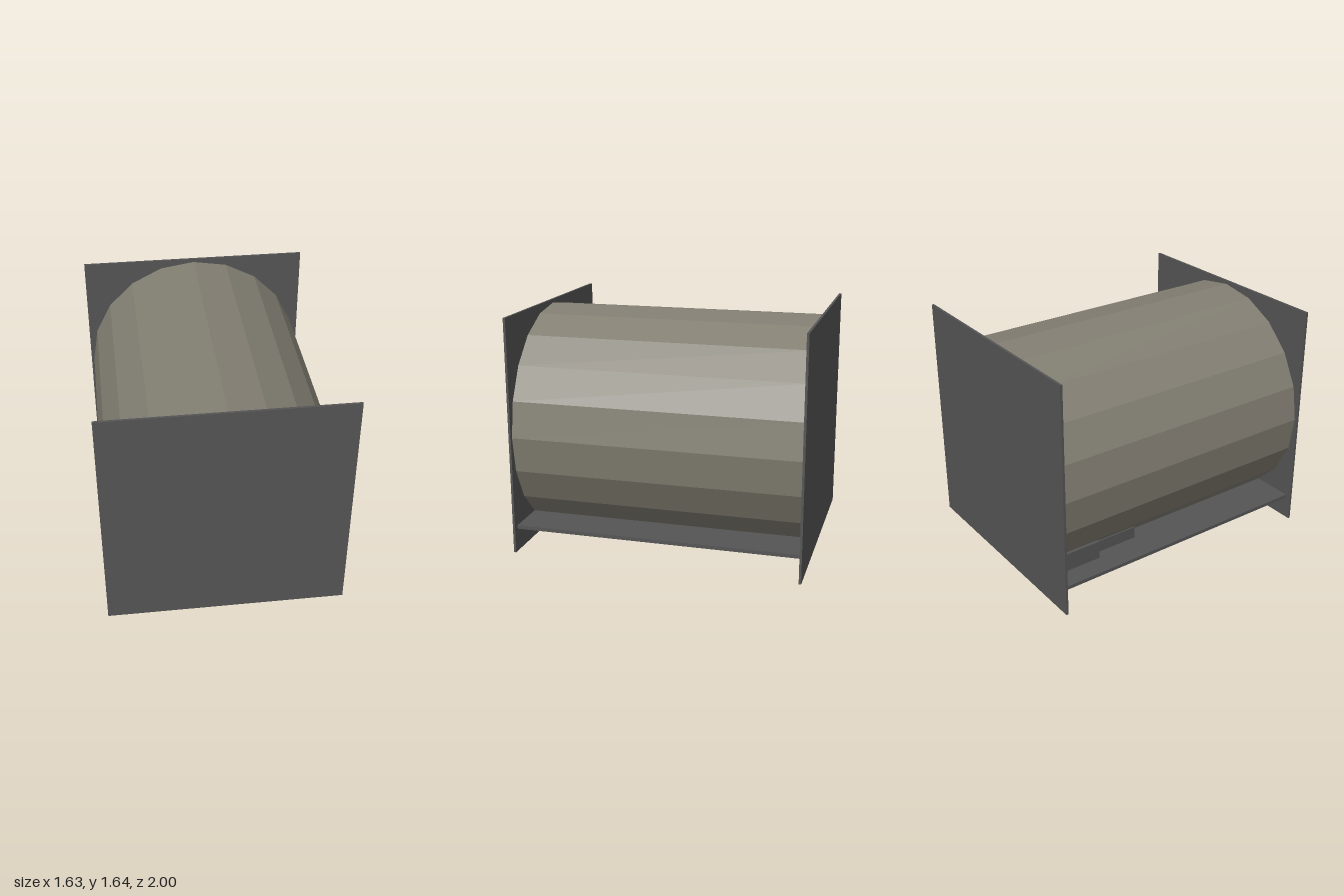
import * as THREE from 'three';

export function createModel() {
  const group = new THREE.Group();
  const mat = (name, color) => {
    const m = new THREE.MeshStandardMaterial({ color });
    m.name = name;
    return m;
  };
  const grey = mat('dark grey', 0x555555);
  const drumColour = mat('warm grey', 0x827e72);

  const box = (name, w, h, d, x, y, z) => {
    const mesh = new THREE.Mesh(new THREE.BoxGeometry(w, h, d), grey);
    mesh.name = name;
    mesh.position.set(x, y, z);
    group.add(mesh);
  };

  // square end plates that carry the drum
  box('frontEndPlate', 1.63, 1.64, 0.016, 0, 0.82, 0.992);
  box('backEndPlate', 1.63, 1.64, 0.016, 0, 0.82, -0.992);

  // floor plate between the end plates
  box('floorPlate', 1.55, 0.025, 1.968, 0, 0.173, 0);

  // twenty-sided drum, cut flat where it meets the floor plate
  const outline = [];
  for (let i = -3; i <= 13; i++) {
    const a = (i * Math.PI) / 10;
    outline.push(new THREE.Vector2(0.795 * Math.cos(a), 0.82 + 0.795 * Math.sin(a)));
  }
  const drumGeometry = new THREE.ExtrudeGeometry(new THREE.Shape(outline), {
    depth: 1.968, bevelEnabled: false, steps: 1,
  });
  drumGeometry.translate(0, 0, -0.984);
  const drum = new THREE.Mesh(drumGeometry, drumColour);
  drum.name = 'drum';
  group.add(drum);

  // small stepped block tucked under the drum at the back right
  box('blockTall', 0.2, 0.13, 0.27, -0.53, 0.25, -0.745);
  box('blockLow', 0.16, 0.085, 0.36, -0.49, 0.227, -0.45);

  return group;
}
